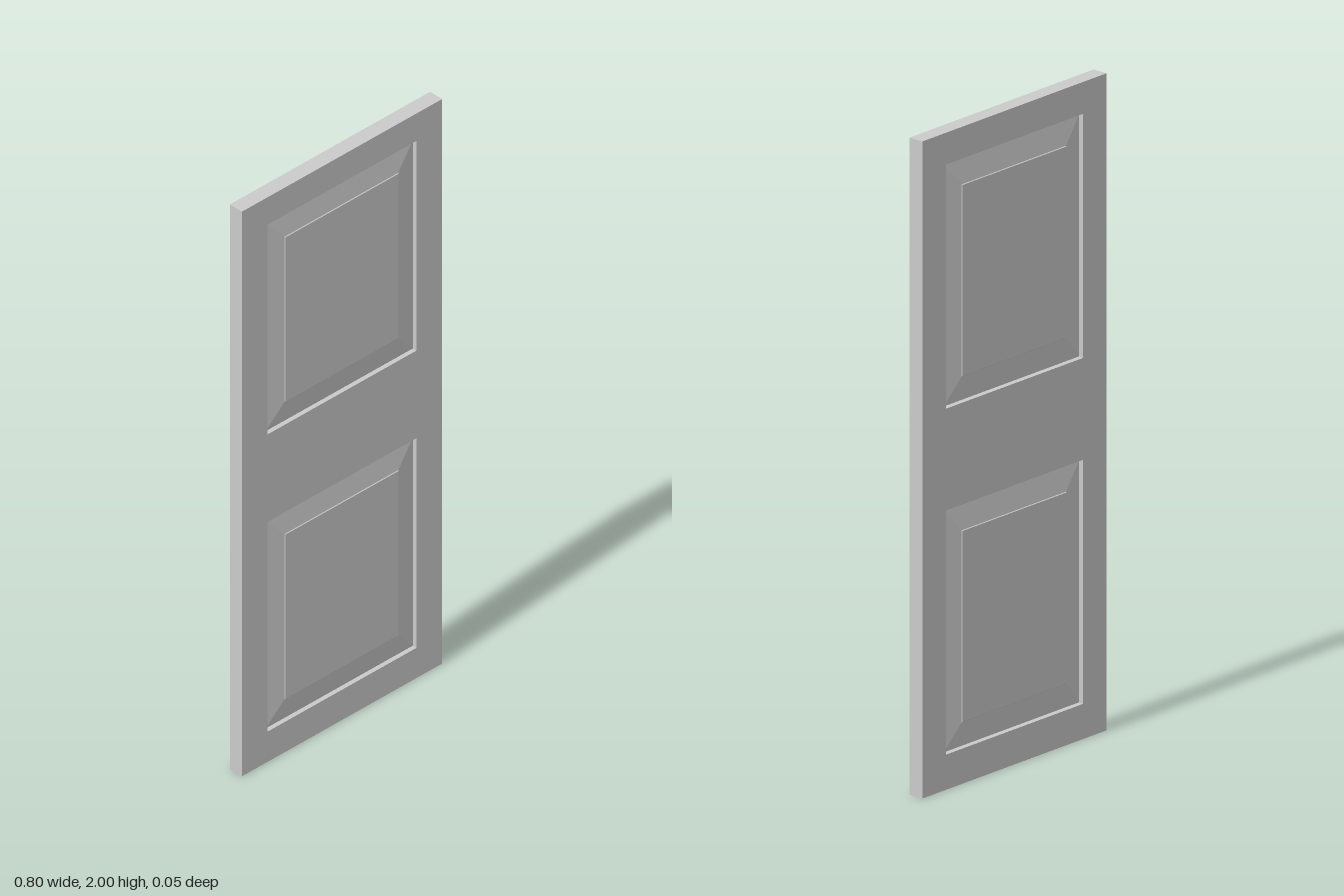
import * as THREE from 'three';

const WIDTH = 0.8, HEIGHT = 2, HALF_DEPTH = 0.025;
const PANEL_HALF_W = 0.297;
const PANELS = [
  { name: 'lowerPanel', y0: 0.107, y1: 0.85 },
  { name: 'upperPanel', y0: 1.16, y1: 1.903 },
];
// Section of a raised panel, rim to field: [inset in x, inset in y, z]
const SECTION = [
  [0, 0, 0.025],
  [0.003, 0.003, 0.013],
  [0.07, 0.079, 0.0225],
  [0.072, 0.081, 0.025],
];

function rectangle(PathType, x0, y0, x1, y1) {
  const path = new PathType();
  path.moveTo(x0, y0).lineTo(x1, y0).lineTo(x1, y1).lineTo(x0, y1).closePath();
  return path;
}

// Mitred rings stepping inward, closed by the flat field
function raisedPanelGeometry(y0, y1) {
  const rings = SECTION.map(([ix, iy, z]) => {
    const x = PANEL_HALF_W - ix;
    return [[-x, y0 + iy, z], [x, y0 + iy, z], [x, y1 - iy, z], [-x, y1 - iy, z]];
  });
  const positions = [];
  const quad = (a, b, c, d) => positions.push(...a, ...b, ...c, ...a, ...c, ...d);
  for (let r = 0; r < rings.length - 1; r++) {
    for (let i = 0; i < 4; i++) {
      const j = (i + 1) % 4;
      quad(rings[r][i], rings[r][j], rings[r + 1][j], rings[r + 1][i]);
    }
  }
  quad(...rings[rings.length - 1]);
  const geometry = new THREE.BufferGeometry();
  geometry.setAttribute('position', new THREE.Float32BufferAttribute(positions, 3));
  geometry.computeVertexNormals();
  return geometry;
}

export function createModel() {
  const door = new THREE.Group();
  door.name = 'door';
  const material = new THREE.MeshStandardMaterial({ color: 0xcccccc });

  // Stiles and rails: one slab with two panel openings
  const outline = rectangle(THREE.Shape, -WIDTH / 2, 0, WIDTH / 2, HEIGHT);
  for (const { y0, y1 } of PANELS) {
    outline.holes.push(rectangle(THREE.Path, -PANEL_HALF_W, y0, PANEL_HALF_W, y1));
  }
  const frameGeometry = new THREE.ExtrudeGeometry(outline, { depth: 2 * HALF_DEPTH, bevelEnabled: false });
  frameGeometry.translate(0, 0, -HALF_DEPTH);
  const frame = new THREE.Mesh(frameGeometry, material);
  frame.name = 'frame';
  door.add(frame);

  // Raised panels, repeated on both faces
  for (const { name, y0, y1 } of PANELS) {
    const geometry = raisedPanelGeometry(y0, y1);
    for (const side of ['Front', 'Back']) {
      const panel = new THREE.Mesh(geometry, material);
      panel.name = name + side;
      if (side === 'Back') panel.rotation.y = Math.PI;
      door.add(panel);
    }
  }
  return door;
}
